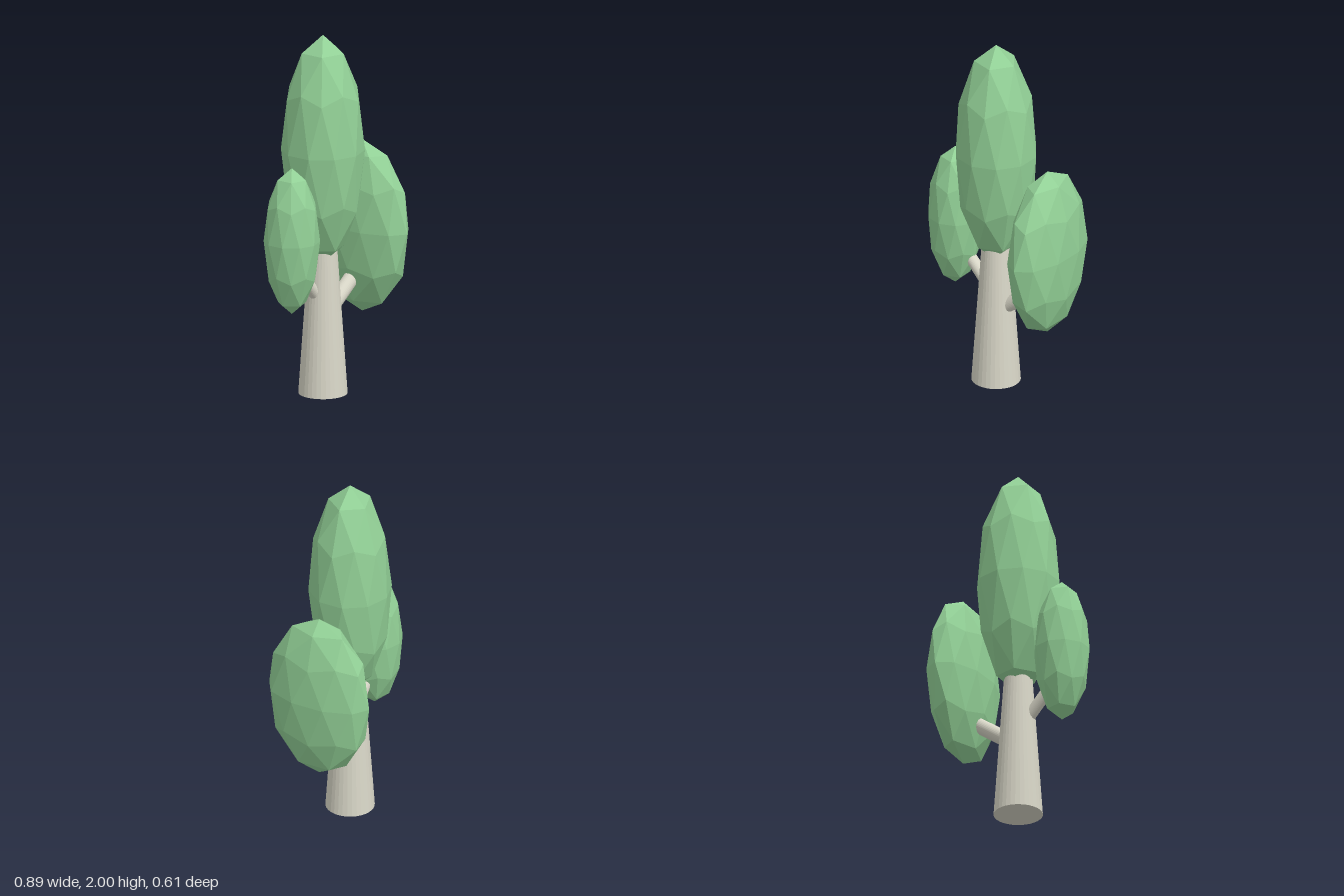
import * as THREE from 'three';

export function createModel() {
  const tree = new THREE.Group();
  tree.name = 'tree';
  const bark = new THREE.MeshStandardMaterial({ color: 0xd9d7c8, flatShading: true });
  const leaf = new THREE.MeshStandardMaterial({ color: 0x92d096, flatShading: true });

  // Tapered round limb between two points
  function limb(name, from, to, r0, r1, sides) {
    const a = new THREE.Vector3(...from);
    const b = new THREE.Vector3(...to);
    const mesh = new THREE.Mesh(new THREE.CylinderGeometry(r1, r0, a.distanceTo(b), sides), bark);
    mesh.name = name;
    mesh.position.copy(a).lerp(b, 0.5);
    mesh.quaternion.setFromUnitVectors(new THREE.Vector3(0, 1, 0), b.clone().sub(a).normalize());
    tree.add(mesh);
  }

  // Faceted ellipsoid: a subdivided icosahedron turned so one corner points up
  function crown(name, center, radii) {
    const geometry = new THREE.IcosahedronGeometry(1, 1);
    geometry.rotateZ(-Math.atan(2 / (1 + Math.sqrt(5))));
    geometry.scale(...radii);
    const mesh = new THREE.Mesh(geometry, leaf);
    mesh.name = name;
    mesh.position.set(...center);
    tree.add(mesh);
  }

  limb('trunk', [-0.035, 0, 0], [-0.035, 1, 0], 0.133, 0.064, 32);
  limb('leftBranch', [-0.035, 0.41, 0], [0.28, 0.633, 0], 0.042, 0.042, 32);
  limb('rightBranch', [-0.035, 0.49, 0], [-0.26, 0.74, 0], 0.033, 0.033, 32);

  crown('topCrown', [-0.035, 1.36, 0], [0.226, 0.64, 0.226]);
  crown('leftCrown', [0.305, 0.86, 0], [0.147, 0.48, 0.307]);
  crown('rightCrown', [-0.305, 0.908, 0], [0.152, 0.407, 0.152]);

  return tree;
}
